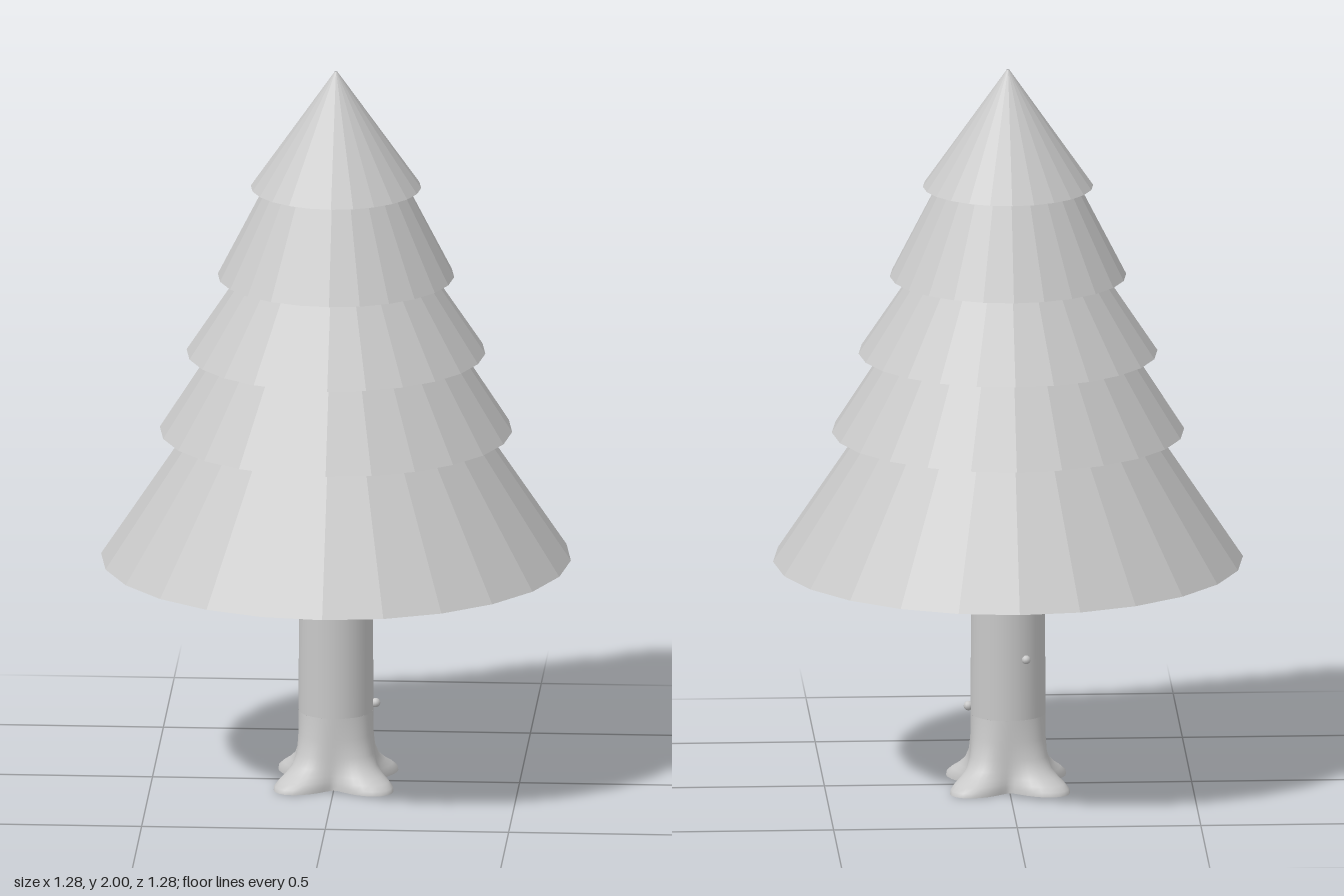
import * as THREE from 'three';
import { mergeVertices } from 'three/addons/utils/BufferGeometryUtils.js';

export function createModel() {
  const tree = new THREE.Group();
  tree.name = 'pineTree';
  const grey = new THREE.MeshStandardMaterial({ color: 0xc8c8c8, side: THREE.DoubleSide });
  grey.name = 'plain grey';
  const flatGrey = grey.clone();
  flatGrey.flatShading = true;

  const add = (name, geometry, material, x, y, z) => {
    const mesh = new THREE.Mesh(geometry, material);
    mesh.name = name;
    mesh.position.set(x, y, z);
    tree.add(mesh);
  };

  // Foliage: open cones [bottom y, bottom radius, top y, top radius]
  const tiers = [
    [0.63, 0.64, 1.59, 0],
    [0.99, 0.48, 1.74, 0],
    [1.21, 0.407, 1.82, 0],
    [1.425, 0.322, 1.81, 0.125],
    [1.675, 0.232, 2.0, 0.004],
  ];
  tiers.forEach(([y0, r0, y1, r1], i) => {
    const cone = new THREE.CylinderGeometry(r1, r0, y1 - y0, 24, 1, true);
    add('foliageTier' + (i + 1), cone, flatGrey, 0, (y0 + y1) / 2, 0);
  });

  // Trunk
  add('trunk', new THREE.CylinderGeometry(0.098, 0.102, 1.1, 32, 1, true), grey, 0, 0.75, 0);

  // Root flare: rows of [y, radius between roots, radius along a root]
  const rows = [
    [0.2, 0.102, 0.102], [0.14, 0.102, 0.109], [0.09, 0.103, 0.122], [0.06, 0.105, 0.14],
    [0.04, 0.107, 0.165], [0.025, 0.109, 0.19], [0.012, 0.11, 0.207], [0, 0.11, 0.21],
  ];
  const sides = 64;
  let flare = new THREE.CylinderGeometry(1, 1, 1, sides, rows.length - 1, true);
  const pos = flare.attributes.position;
  for (let i = 0; i < pos.count; i++) {
    const [y, valley, root] = rows[Math.floor(i / (sides + 1))];
    const angle = ((i % (sides + 1)) % sides) / sides * Math.PI * 2;
    const lobe = Math.pow(Math.abs(Math.sin(2 * angle)), 1.8); // four diagonal roots
    const r = valley + (root - valley) * lobe;
    pos.setXYZ(i, Math.sin(angle) * r, y, Math.cos(angle) * r);
  }
  flare.deleteAttribute('uv');
  flare.deleteAttribute('normal');
  flare = mergeVertices(flare);
  flare.computeVertexNormals();
  add('rootFlare', flare, grey, 0, 0, 0);

  // Knots on the bark [x, y, z, radius]
  const knots = [
    [-0.09, 0.565, 0.05, 0.017],
    [0.108, 0.22, 0, 0.013],
    [-0.045, 0.37, -0.096, 0.012],
  ];
  for (const [x, y, z, r] of knots) add('knot', new THREE.SphereGeometry(r, 12, 8), grey, x, y, z);

  return tree;
}
